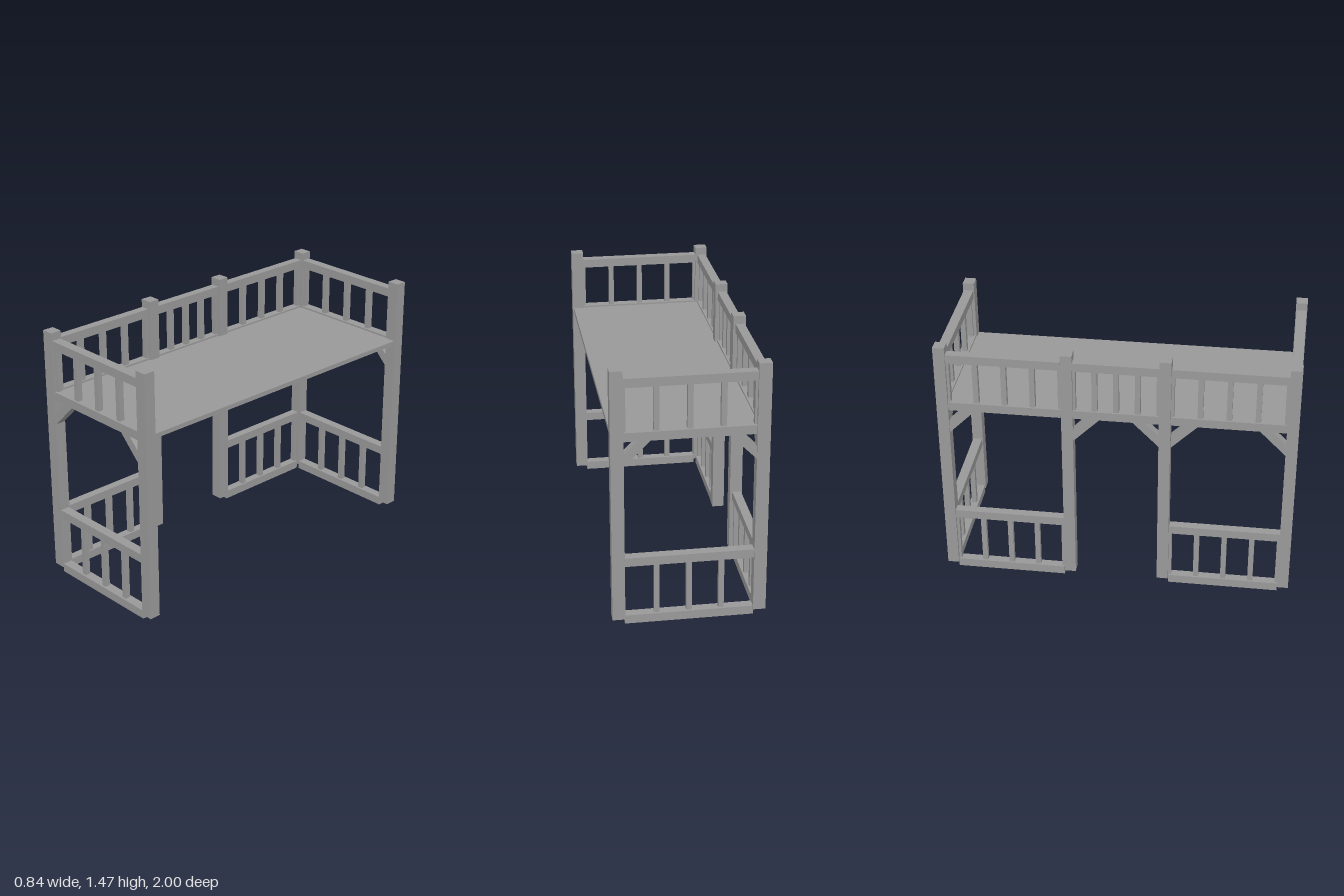
import * as THREE from 'three';

export function createModel() {
  const model = new THREE.Group();
  model.name = 'loftBed';
  const wood = new THREE.MeshStandardMaterial({ color: 0x999999 });
  wood.name = 'greyTimber';

  const RAIL = 0.05, BALUSTER = 0.03;
  const HALF_X = 0.385, HALF_Z = 0.9675, MID_Z = 0.27;

  // box given by its centre and size
  function box(parent, name, w, h, d, x, y, z) {
    const mesh = new THREE.Mesh(new THREE.BoxGeometry(w, h, d), wood);
    mesh.name = name;
    mesh.position.set(x, y, z);
    parent.add(mesh);
  }

  // diagonal brace: inner edge at local x = 0, rising to the rail underside
  const braceShape = new THREE.Shape([
    new THREE.Vector2(0, 0.935), new THREE.Vector2(0.145, 1.08),
    new THREE.Vector2(0.075, 1.08), new THREE.Vector2(0, 1.005),
  ]);
  const braceGeometry = new THREE.ExtrudeGeometry(braceShape, { depth: RAIL, bevelEnabled: false });
  braceGeometry.translate(0, 0, -RAIL / 2);

  // one bay between two posts, built along local x
  function bay(name, length, { lower = true, braces = [-1, 1], lowerEnds = true, depth = RAIL }) {
    const group = new THREE.Group();
    group.name = name;
    const rail = (part, y) => box(group, part, length, RAIL, depth, 0, y, 0);
    const balusters = (y0, y1, ends) => {
      for (let i = ends ? 0 : 1; i <= (ends ? 4 : 3); i++) {
        box(group, 'baluster', BALUSTER, y1 - y0, BALUSTER, (i / 4 - 0.5) * length, (y0 + y1) / 2, 0);
      }
    };
    rail('topRail', 1.405);
    rail('deckRail', 1.105);
    balusters(1.13, 1.38, true);
    if (lower) {
      rail('lowerRail', 0.375);
      rail('bottomRail', 0.026);
      balusters(0.05, 0.35, lowerEnds);
    }
    for (const side of braces) {
      const brace = new THREE.Mesh(braceGeometry, wood);
      brace.name = 'brace';
      brace.position.x = side * length / 2;
      if (side > 0) brace.rotation.y = Math.PI;
      group.add(brace);
    }
    model.add(group);
    return group;
  }

  // corner posts and the two middle posts of the closed side
  const posts = [];
  for (const z of [-HALF_Z, HALF_Z]) posts.push([-HALF_X, z], [HALF_X, z]);
  for (const z of [-MID_Z, MID_Z]) posts.push([-HALF_X, z]);
  for (const [x, z] of posts) box(model, 'post', 0.07, 1.445, 0.065, x, 0.7525, z);

  // front and back ends
  for (const side of [-1, 1]) {
    const end = bay(side > 0 ? 'frontEnd' : 'backEnd', 0.704, { lowerEnds: false, depth: 0.055 });
    end.position.z = side * HALF_Z;
  }

  // three bays of the closed side; local +x points to -z
  const sideBays = [
    ['frontSideBay', 0.62, 0.63, {}],
    ['middleSideBay', 0, 0.475, { lower: false }],
    ['backSideBay', -0.62, 0.63, { braces: [1] }],
  ];
  for (const [name, z, length, options] of sideBays) {
    const panel = bay(name, length, options);
    panel.rotation.y = Math.PI / 2;
    panel.position.set(-0.388, 0, z);
  }

  // sleeping deck
  box(model, 'deck', 0.825, 0.026, 1.986, 0.002, 1.107, 0);

  return model;
}
